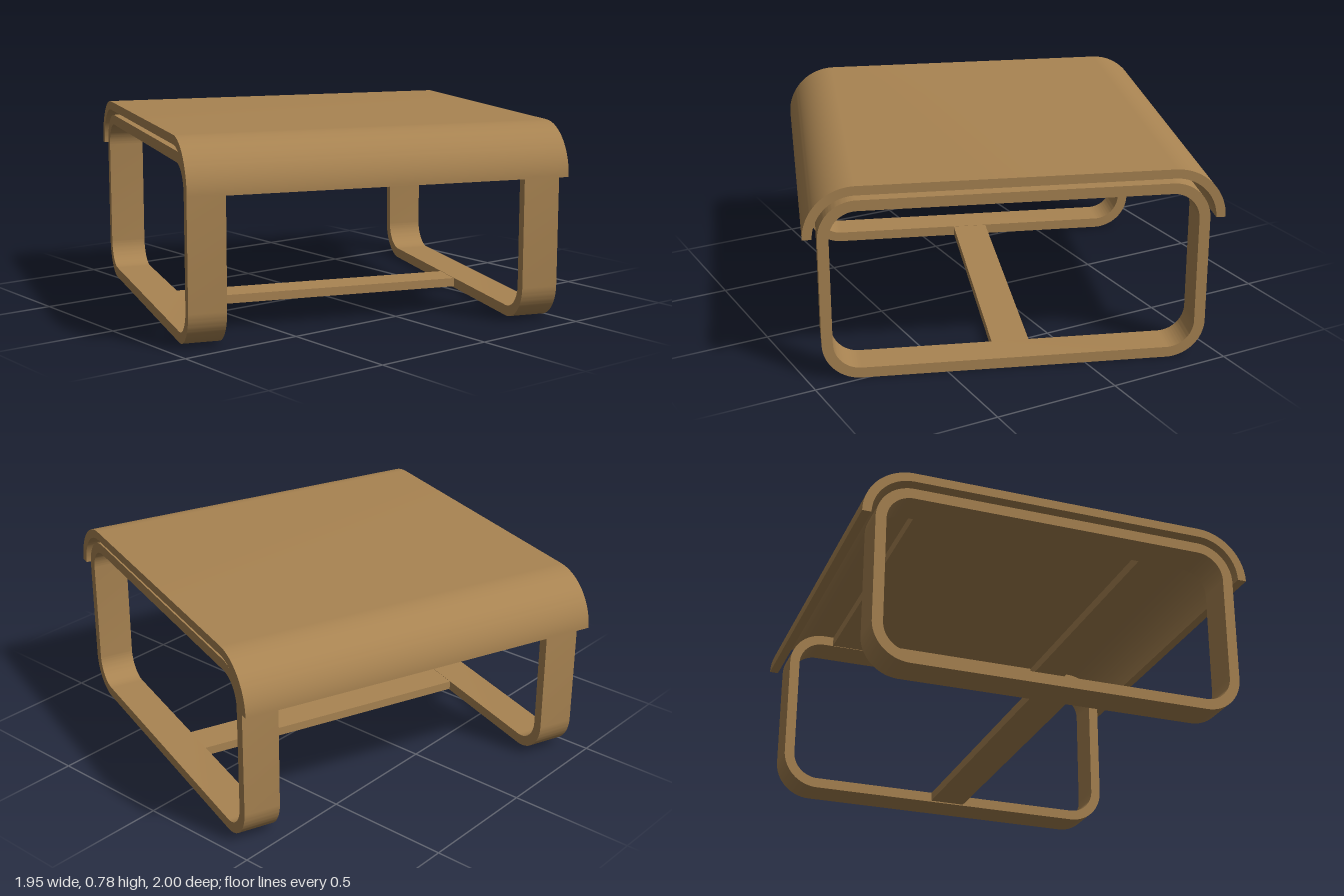
import * as THREE from 'three';
import { toCreasedNormals } from 'three/addons/utils/BufferGeometryUtils.js';

const wood = new THREE.MeshStandardMaterial({ color: 0xa98452 });
wood.name = 'wood';

function addMesh(parent, name, geometry, x = 0, y = 0, z = 0) {
  const mesh = new THREE.Mesh(geometry, wood);
  mesh.name = name;
  mesh.position.set(x, y, z);
  parent.add(mesh);
}

// Rounded rectangle outline between two heights
function roundedRect(path, halfLength, low, high, r) {
  const h = halfLength;
  path.absarc(h - r, low + r, r, -Math.PI / 2, 0, false);
  path.absarc(h - r, high - r, r, 0, Math.PI / 2, false);
  path.absarc(-h + r, high - r, r, Math.PI / 2, Math.PI, false);
  path.absarc(-h + r, low + r, r, Math.PI, Math.PI * 1.5, false);
  path.closePath();
  return path;
}

// Extrude a side profile across the table's width, centred, with smooth bends
function extrudeAcross(shape, width) {
  const geometry = new THREE.ExtrudeGeometry(shape, { depth: width, bevelEnabled: false, curveSegments: 16 });
  geometry.translate(0, 0, -width / 2);
  geometry.rotateY(-Math.PI / 2);
  return toCreasedNormals(geometry, 0.5);
}

export function createModel() {
  const model = new THREE.Group();
  model.name = 'coffeeTable';

  // The whole table stands turned about the vertical axis
  const table = new THREE.Group();
  table.name = 'table';
  table.rotation.y = -THREE.MathUtils.degToRad(20);
  model.add(table);

  // Bent top: flat sheet with quarter-round ends
  const bendZ = 0.592, bendY = 0.58, outerR = 0.2, innerR = 0.164;
  const top = new THREE.Shape();
  top.absarc(bendZ, bendY, outerR, 0, Math.PI / 2, false);
  top.absarc(-bendZ, bendY, outerR, Math.PI / 2, Math.PI, false);
  top.absarc(-bendZ, bendY, innerR, Math.PI, Math.PI / 2, true);
  top.absarc(bendZ, bendY, innerR, Math.PI / 2, 0, true);
  top.closePath();
  addMesh(table, 'bentTop', extrudeAcross(top, 1.5));

  // Closed loop legs on both sides
  const loop = roundedRect(new THREE.Shape(), 0.737, 0, 0.72, 0.148);
  loop.holes.push(roundedRect(new THREE.Path(), 0.695, 0.042, 0.678, 0.106));
  const loopGeometry = extrudeAcross(loop, 0.146);
  for (const side of [-1, 1]) {
    addMesh(table, side > 0 ? 'leftLegLoop' : 'rightLegLoop', loopGeometry, side * 0.665);
  }

  // Cross rails under the top, with small spacers that carry it
  const rail = new THREE.BoxGeometry(1.184, 0.04, 0.146);
  const spacer = new THREE.CylinderGeometry(0.014, 0.014, 0.03, 16);
  for (const end of [-1, 1]) {
    addMesh(table, end > 0 ? 'frontRail' : 'backRail', rail, 0, 0.7, end * 0.475);
    for (const side of [-1, 1]) addMesh(table, 'spacer', spacer, side * 0.5, 0.732, end * 0.475);
  }

  // Low stretcher joining the loops
  addMesh(table, 'stretcher', new THREE.BoxGeometry(1.184, 0.036, 0.146), 0, 0.023, 0);

  return model;
}
